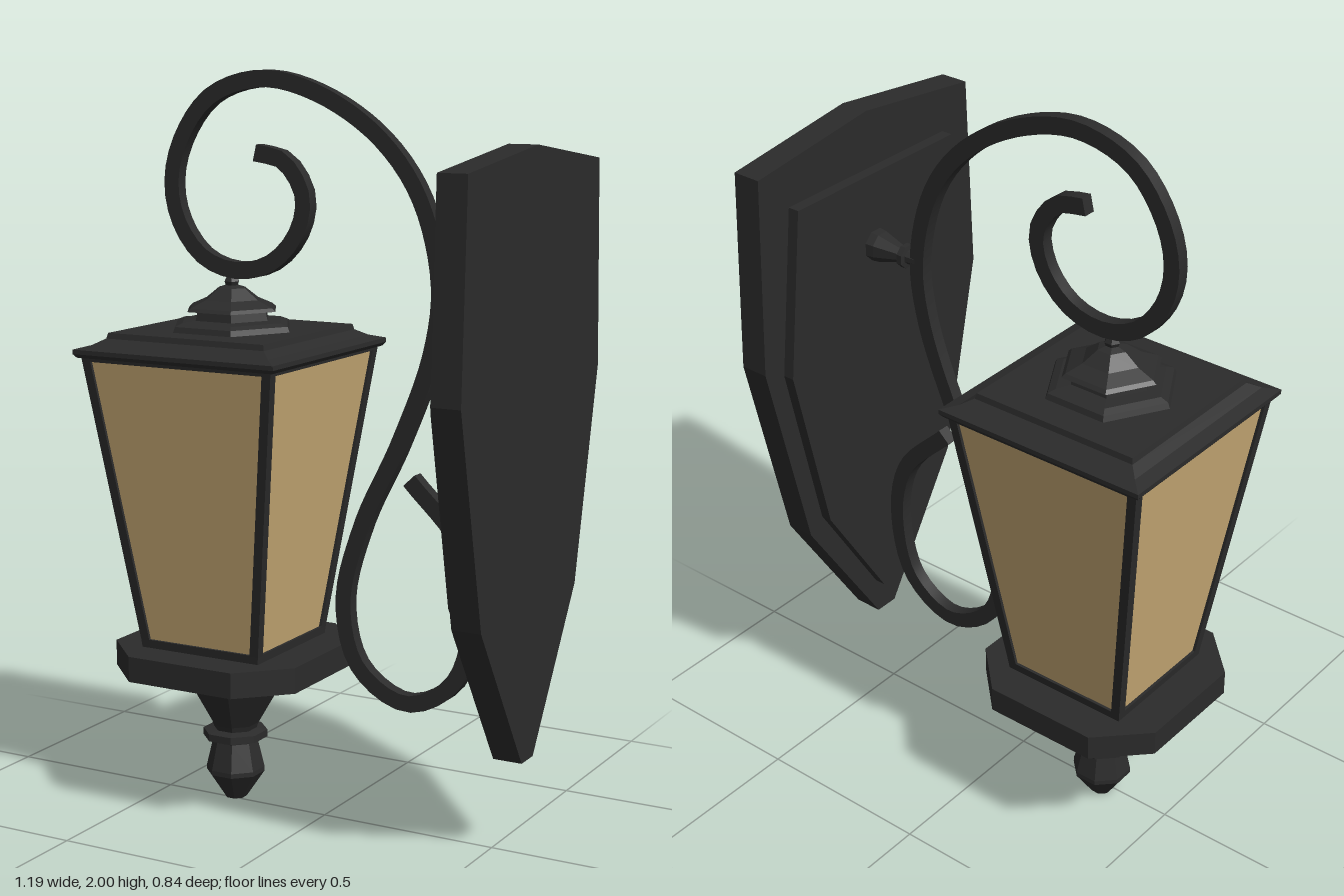
import * as THREE from 'three';
import { toCreasedNormals } from 'three/addons/utils/BufferGeometryUtils.js';

const iron = new THREE.MeshStandardMaterial({ color: 0x2b2b2b, flatShading: true });
const ironSmooth = new THREE.MeshStandardMaterial({ color: 0x2b2b2b });
const amber = new THREE.MeshStandardMaterial({ color: 0xc8aa75, flatShading: true });

function add(parent, name, geometry, material = iron) {
  const mesh = new THREE.Mesh(geometry, material);
  mesh.name = name;
  parent.add(mesh);
  return mesh;
}

// Faceted turning; profile is [distance to corner, or to flat if flats is set, height], bottom to top
function turned(profile, sides, phase, flats = false) {
  const k = flats ? 1 / Math.cos(Math.PI / sides) : 1;
  const pts = profile.map(([r, y]) => new THREE.Vector2(r * k, y));
  return new THREE.LatheGeometry(pts, sides, phase);
}
const square = (profile) => turned(profile, 4, Math.PI / 4, true);

// Plate outline mirrored about its centre line, extruded along x
function plate(half, x0, x1) {
  const pts = [...half, ...half.slice().reverse().map(([z, y]) => [-z, y])];
  const shape = new THREE.Shape(pts.map(([z, y]) => new THREE.Vector2(z, y)));
  const g = new THREE.ExtrudeGeometry(shape, { depth: x1 - x0, bevelEnabled: false });
  return g.rotateY(Math.PI / 2).translate(x0, 0, 0);
}

// Flat bar of constant width following a curve in the xy plane
function scrollBar(points, width, depth) {
  const curve = new THREE.CatmullRomCurve3(points.map(([x, y]) => new THREE.Vector3(x, y, 0)), false, 'centripetal');
  const n = 110, left = [], right = [];
  for (let i = 0; i <= n; i++) {
    const p = curve.getPointAt(i / n), t = curve.getTangentAt(i / n);
    const dx = -t.y * width / 2, dy = t.x * width / 2;
    left.push(new THREE.Vector2(p.x + dx, p.y + dy));
    right.unshift(new THREE.Vector2(p.x - dx, p.y - dy));
  }
  const g = new THREE.ExtrudeGeometry(new THREE.Shape([...left, ...right]), { depth, bevelEnabled: false });
  return toCreasedNormals(g.translate(0, 0, -depth / 2), 0.6);
}

export function createModel() {
  const model = new THREE.Group();
  model.name = 'wallLantern';

  // Wall plate in two layers
  const wall = new THREE.Group();
  wall.name = 'wallMount';
  wall.position.z = -0.003;
  model.add(wall);
  add(wall, 'backPlate', plate([[0, 0.255], [0.035, 0.255], [0.292, 0.66], [0.42, 1.23], [0.397, 1.775], [0, 1.825]], 0.515, 0.595));
  add(wall, 'raisedPlate', plate([[0.04, 0.365], [0.245, 0.7], [0.353, 1.2], [0.297, 1.665]], 0.483, 0.517));

  // Stub joining the scroll to the plate
  const stub = add(model, 'connector', turned([[0, 0], [0.045, 0], [0.042, 0.025], [0.022, 0.095], [0.022, 0.1],
    [0.033, 0.1], [0.033, 0.115], [0.02, 0.117], [0.016, 0.15], [0, 0.15]], 8, Math.PI / 8));
  stub.rotation.z = Math.PI / 2;
  stub.position.set(0.485, 1.46, -0.018);

  // Scroll arm
  const scroll = add(model, 'scrollArm', scrollBar([
    [-0.21, 1.785], [-0.125, 1.765], [-0.066, 1.675], [-0.085, 1.58], [-0.16, 1.5], [-0.267, 1.473],
    [-0.373, 1.505], [-0.447, 1.595], [-0.47, 1.7], [-0.44, 1.815], [-0.347, 1.93], [-0.19, 1.977],
    [-0.02, 1.94], [0.156, 1.833], [0.272, 1.685], [0.33, 1.47], [0.31, 1.29], [0.22, 1.05],
    [0.11, 0.818], [0.056, 0.6], [0.103, 0.43], [0.246, 0.352], [0.384, 0.43], [0.432, 0.627],
    [0.394, 0.8], [0.25, 0.955]], 0.045, 0.034), ironSmooth);
  scroll.position.z = -0.016;

  // Lantern, built around its own axis
  const lantern = new THREE.Group();
  lantern.name = 'lantern';
  lantern.position.set(-0.294, 0, -0.018);
  model.add(lantern);

  // Roof and stepped crown
  add(lantern, 'roof', square([[0, 1.252], [0.298, 1.252], [0.306, 1.262], [0.306, 1.274], [0.27, 1.284],
    [0.242, 1.3], [0.238, 1.315], [0, 1.315]]));
  add(lantern, 'crown', turned([[0, 1.31], [0.18, 1.31], [0.172, 1.33], [0.15, 1.338], [0.11, 1.342], [0.105, 1.365],
    [0.135, 1.367], [0.125, 1.376], [0.08, 1.395], [0.04, 1.425], [0.018, 1.432], [0.022, 1.442], [0.01, 1.466],
    [0, 1.468]], 6, Math.PI / 6));

  // Glass and its tapering frame
  const y0 = 0.45, y1 = 1.255, h0 = 0.182, h1 = 0.29, bar = 0.026;
  add(lantern, 'glass', square([[h0 - 0.008, y0], [h1 - 0.008, y1]]), amber);
  for (const sx of [-1, 1]) for (const sz of [-1, 1]) {
    const g = new THREE.BoxGeometry(bar, y1 - y0, bar);
    const p = g.attributes.position;
    for (let i = 0; i < p.count; i++) {
      const c = (p.getY(i) > 0 ? h1 : h0) - bar / 2;
      p.setXYZ(i, p.getX(i) + sx * c, p.getY(i) + (y0 + y1) / 2, p.getZ(i) + sz * c);
    }
    add(lantern, 'cornerBar', g);
  }
  add(lantern, 'bottomRail', square([[0, 0.445], [h0, 0.445], [h0 + 0.003, 0.473], [0, 0.473]]));
  add(lantern, 'topRail', square([[0, 1.242], [h1 - 0.002, 1.242], [h1, 1.256], [0, 1.256]]));

  // Gallery: square slab with cut corners
  const a = 0.284, c = 0.16;
  const outline = [[a, -c], [a, c], [c, a], [-c, a], [-a, c], [-a, -c], [-c, -a], [c, -a]];
  const slab = new THREE.ExtrudeGeometry(new THREE.Shape(outline.map(([x, z]) => new THREE.Vector2(x, z))),
    { depth: 0.07, bevelEnabled: false });
  add(lantern, 'gallery', slab.rotateX(-Math.PI / 2).translate(0, 0.38, 0));

  // Pendant below the gallery
  add(lantern, 'pendant', turned([[0, 0], [0.028, 0], [0.075, 0.075], [0.075, 0.088], [0.058, 0.165], [0.06, 0.175],
    [0.083, 0.175], [0.083, 0.195], [0.055, 0.2], [0.06, 0.215], [0.148, 0.382], [0, 0.382]], 8, Math.PI / 8, true));

  return model;
}
